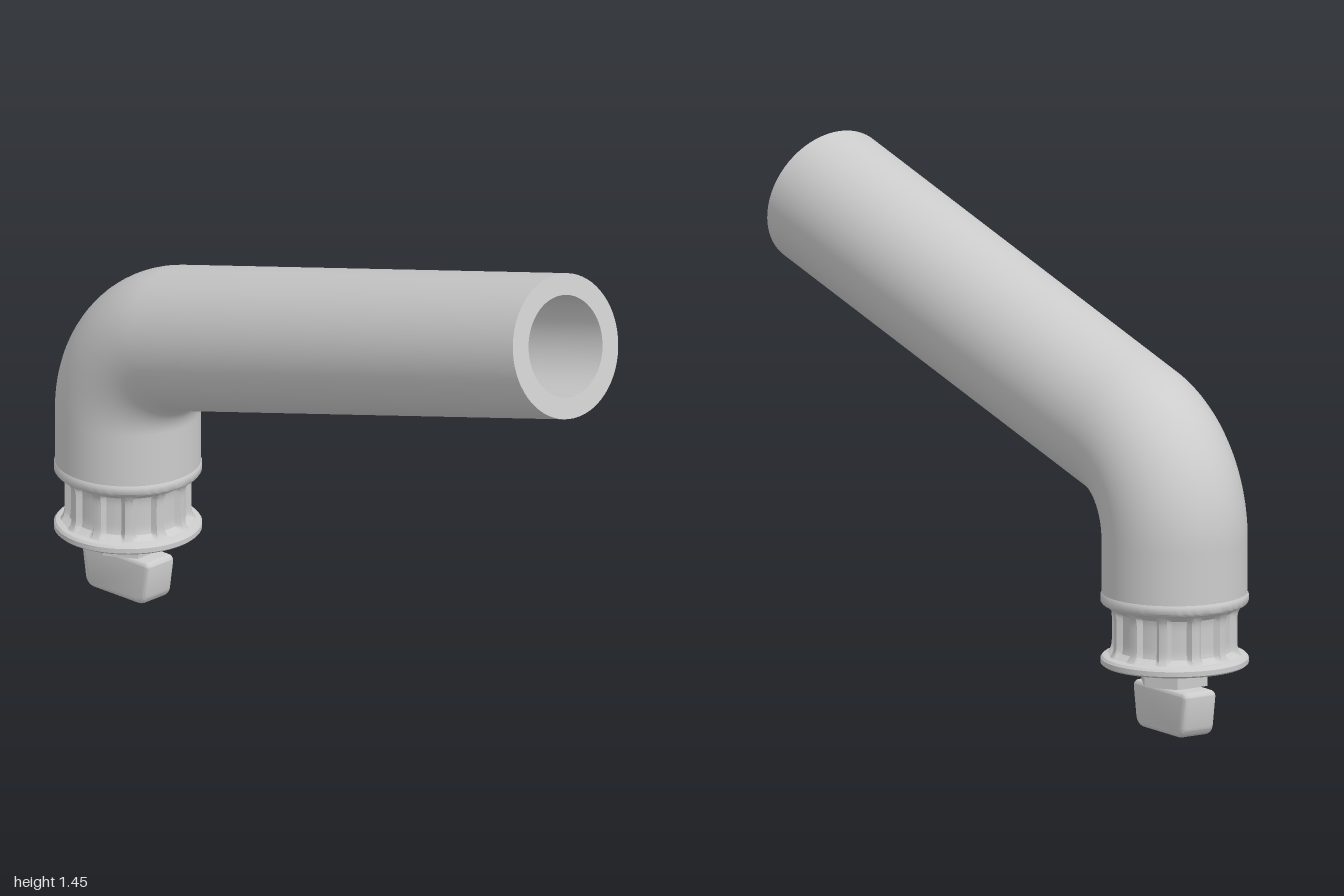
import * as THREE from 'three';
import { toCreasedNormals } from 'three/addons/utils/BufferGeometryUtils.js';

const AXIS_X = -0.79, PIPE_R = 0.208, BORE_R = 0.146;
const PIPE_Y = 0.405, BEND_Y = 0.558, BEND_R = 0.29, ARM = 1.572;
const TILT = THREE.MathUtils.degToRad(15), SWEEP = Math.PI / 2 - TILT;

// Centre line: upright, circular bend, then the sloping arm
class PipePath extends THREE.Curve {
  getPoint(t, target = new THREE.Vector3()) {
    const rise = BEND_Y - PIPE_Y, arc = BEND_R * SWEEP;
    const s = t * (rise + arc + ARM);
    if (s <= rise) return target.set(AXIS_X, PIPE_Y + s, 0);
    const a = Math.min((s - rise) / BEND_R, SWEEP);
    const rest = Math.max(0, s - rise - arc);
    return target.set(
      AXIS_X + BEND_R * (1 - Math.cos(a)) + rest * Math.cos(TILT),
      BEND_Y + BEND_R * Math.sin(a) + rest * Math.sin(TILT), 0);
  }
}

export function createModel() {
  const model = new THREE.Group();
  model.name = 'pipeWithFitting';
  const grey = new THREE.MeshStandardMaterial({ color: 0xcccccc });
  const greyDouble = new THREE.MeshStandardMaterial({ color: 0xcccccc, side: THREE.DoubleSide });
  const add = (parent, name, geometry, material = grey) => {
    const mesh = new THREE.Mesh(geometry, material);
    mesh.name = name;
    parent.add(mesh);
    return mesh;
  };
  const lathe = (points, segments = 96) => toCreasedNormals(
    new THREE.LatheGeometry(points.map(([r, y]) => new THREE.Vector2(r, y)), segments), 0.6);

  // Bent hollow pipe
  const path = new PipePath();
  add(model, 'pipeOuterWall', new THREE.TubeGeometry(path, 160, PIPE_R, 64));
  add(model, 'pipeBore', new THREE.TubeGeometry(path, 160, BORE_R, 64), greyDouble);
  const rim = new THREE.RingGeometry(BORE_R, PIPE_R, 64);
  rim.rotateY(Math.PI / 2).rotateZ(TILT);
  add(model, 'pipeRim', rim).position.copy(path.getPoint(1));

  // Fitting under the upright end of the pipe
  const fitting = new THREE.Group();
  fitting.name = 'fitting';
  fitting.position.x = AXIS_X;
  model.add(fitting);

  add(fitting, 'upperFlange', lathe([
    [0, 0.37], [0.2, 0.37], [0.207, 0.374], [0.211, 0.38], [0.211, 0.398], [0.206, 0.406], [0, 0.406],
  ]));
  add(fitting, 'lowerFlange', lathe([
    [0, 0.22], [0.135, 0.22], [0.14, 0.196], [0.205, 0.195], [0.211, 0.2],
    [0.211, 0.214], [0.205, 0.221], [0.19, 0.225], [0, 0.225],
  ]));

  // Neck with twelve flutes that fade out into flared ends
  const FLUTES = 12, rows = 20, bottom = 0.215, top = 0.375;
  const profile = [];
  for (let i = 0; i <= rows; i++) {
    const v = i / rows, flare = Math.pow(Math.abs(2 * v - 1), 5);
    profile.push(new THREE.Vector2(0.18 + 0.022 * flare, bottom + (top - bottom) * v));
  }
  const neck = new THREE.LatheGeometry(profile, FLUTES * 16);
  const p = neck.attributes.position;
  for (let i = 0; i < p.count; i++) {
    const x = p.getX(i), y = p.getY(i), z = p.getZ(i);
    const across = Math.cos(Math.atan2(z, x) * FLUTES);
    const along = Math.abs(2 * (y - bottom) / (top - bottom) - 1);
    const depth = 0.016 * THREE.MathUtils.smoothstep(across, -0.8, 0)
      * (1 - THREE.MathUtils.smoothstep(along, 0.7, 0.95));
    const k = 1 - depth / Math.hypot(x, z);
    p.setXYZ(i, x * k, y, z * k);
  }
  add(fitting, 'flutedNeck', toCreasedNormals(neck, 0.6));

  // Ring of small beads in the underside recess
  const bead = new THREE.SphereGeometry(0.006, 10, 8);
  for (let i = 0; i < 24; i++) {
    const a = i / 24 * Math.PI * 2;
    add(fitting, 'bead', bead).position.set(0.122 * Math.cos(a), 0.219, 0.122 * Math.sin(a));
  }

  // Hexagonal nut and the thin stem below it
  const nut = toCreasedNormals(new THREE.CylinderGeometry(0.104, 0.104, 0.085, 6), 0.4);
  add(fitting, 'hexNut', nut).position.y = 0.1815;
  add(fitting, 'stem', new THREE.CylinderGeometry(0.025, 0.025, 0.04, 24)).position.y = 0.135;

  // Tapered thumb key with rounded edges
  const corners = [[-0.105, 0.014], [0.105, 0.014], [0.121, 0.12], [-0.121, 0.12]];
  const radii = [0.02, 0.02, 0.006, 0.006];
  const outline = new THREE.Shape();
  corners.forEach(([x, y], i) => {
    const c = new THREE.Vector2(x, y);
    const toward = (j) => new THREE.Vector2(...corners[(j + 4) % 4]).sub(c).setLength(radii[i]).add(c);
    const a = toward(i - 1), b = toward(i + 1);
    if (i === 0) outline.moveTo(a.x, a.y); else outline.lineTo(a.x, a.y);
    outline.quadraticCurveTo(x, y, b.x, b.y);
  });
  outline.closePath();
  const key = new THREE.ExtrudeGeometry(outline, {
    depth: 0.08, bevelEnabled: true, bevelSize: 0.014, bevelThickness: 0.015, bevelSegments: 5, curveSegments: 8,
  });
  key.translate(0, 0, -0.04);
  add(fitting, 'thumbKey', toCreasedNormals(key, 0.6));

  return model;
}
